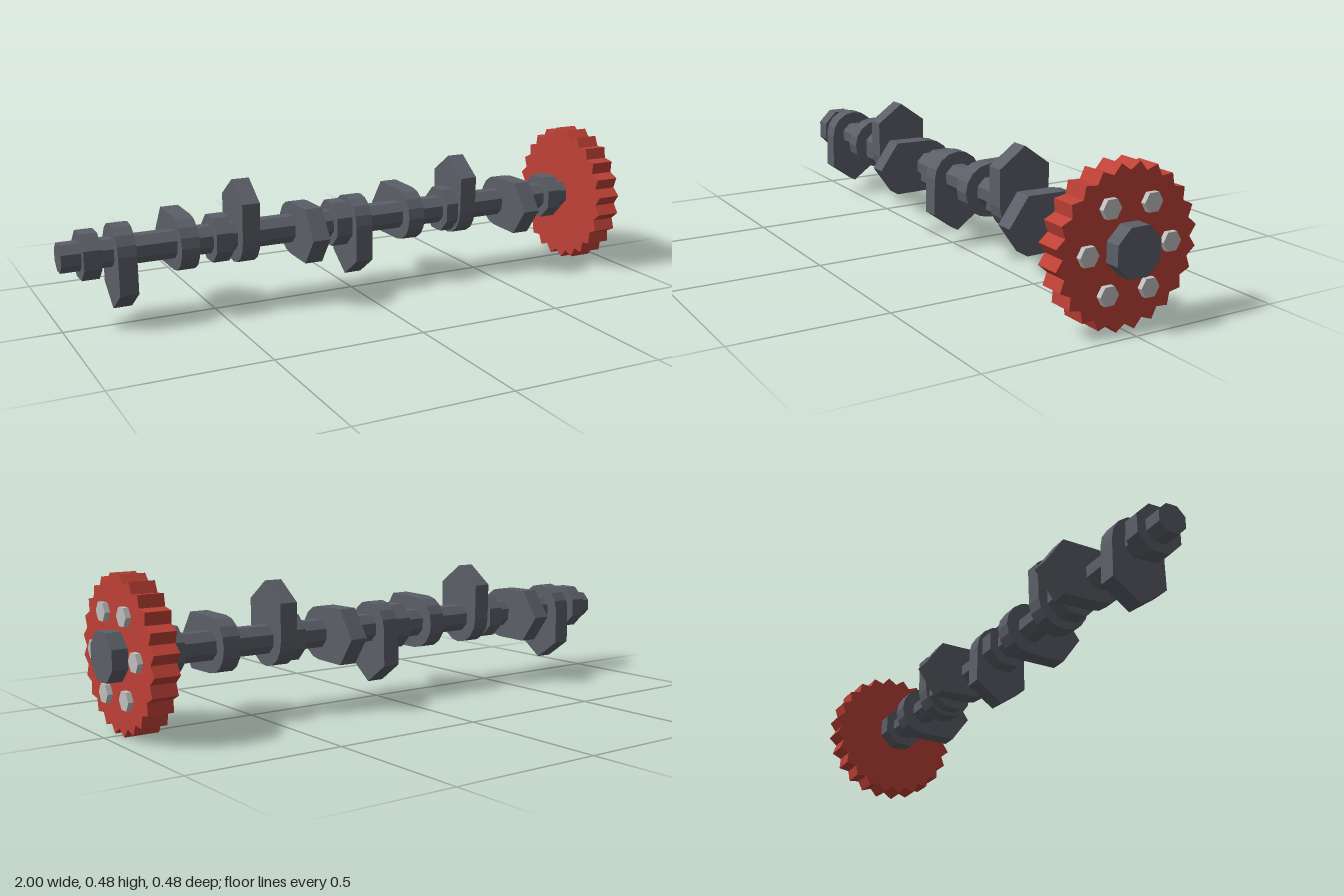
import * as THREE from 'three';

const AXIS_Y = 0.243;

export function createModel() {
  const group = new THREE.Group();
  const steel = new THREE.MeshStandardMaterial({ name: 'dark steel', color: 0x5c5f68, flatShading: true });
  const red = new THREE.MeshStandardMaterial({ name: 'gear red', color: 0xbf4136, flatShading: true });
  const silver = new THREE.MeshStandardMaterial({ name: 'bolt silver', color: 0xc0c0c0, flatShading: true });

  const add = (name, geometry, material, y = AXIS_Y, z = 0) => {
    const mesh = new THREE.Mesh(geometry, material);
    mesh.name = name;
    mesh.position.set(0, y, z);
    group.add(mesh);
    return mesh;
  };

  // Prism lying along x between two positions
  const prism = (x0, x1, radius, sides, turn = 0) =>
    new THREE.CylinderGeometry(radius, radius, x1 - x0, sides)
      .rotateY(turn).rotateZ(-Math.PI / 2).translate((x0 + x1) / 2, 0, 0);

  // Flat profile extruded along x
  const plate = (points, x0, x1) =>
    new THREE.ExtrudeGeometry(new THREE.Shape(points), { depth: x1 - x0, bevelEnabled: false })
      .rotateY(Math.PI / 2).translate(x0, 0, 0);

  // Shaft and its octagonal bearing journals
  add('shaft', prism(-1, 0.98, 0.0485, 8, Math.PI / 8), steel);
  for (const x of [-0.91, -0.485, -0.06, 0.365, 0.795, 0.972]) {
    add('journal', prism(x - 0.028, x + 0.028, 0.08, 8, Math.PI / 8), steel);
  }

  // Cam lobes: round base with a pointed nose, each a quarter turn on from the last
  const lobe = [new THREE.Vector2(0.091, 0.122), new THREE.Vector2(0, 0.187), new THREE.Vector2(-0.091, 0.122)];
  for (let i = 0; i <= 8; i++) {
    const a = Math.PI + (i / 8) * Math.PI;
    lobe.push(new THREE.Vector2(0.089 * Math.cos(a), 0.089 * Math.sin(a)));
  }
  [-0.807, -0.604, -0.401, -0.198, 0.005, 0.208, 0.411, 0.614].forEach((x, i) => {
    add('camLobe', plate(lobe, x - 0.03, x + 0.03), steel).rotation.x = Math.PI + i * Math.PI / 2;
  });

  // Timing gear with 24 pointed teeth
  const teeth = [];
  for (let i = 0; i < 48; i++) {
    const a = (i * Math.PI) / 24;
    const r = i % 2 ? 0.243 : 0.219;
    teeth.push(new THREE.Vector2(r * Math.cos(a), r * Math.sin(a)));
  }
  add('timingGear', plate(teeth, 0.868, 0.95), red);

  // Ring of hexagonal bolts
  for (let i = 0; i < 6; i++) {
    const a = (i * Math.PI) / 3;
    add('gearBolt', prism(0.94, 0.967, 0.032, 6), silver, AXIS_Y + 0.142 * Math.sin(a), 0.142 * Math.cos(a));
  }
  return group;
}
